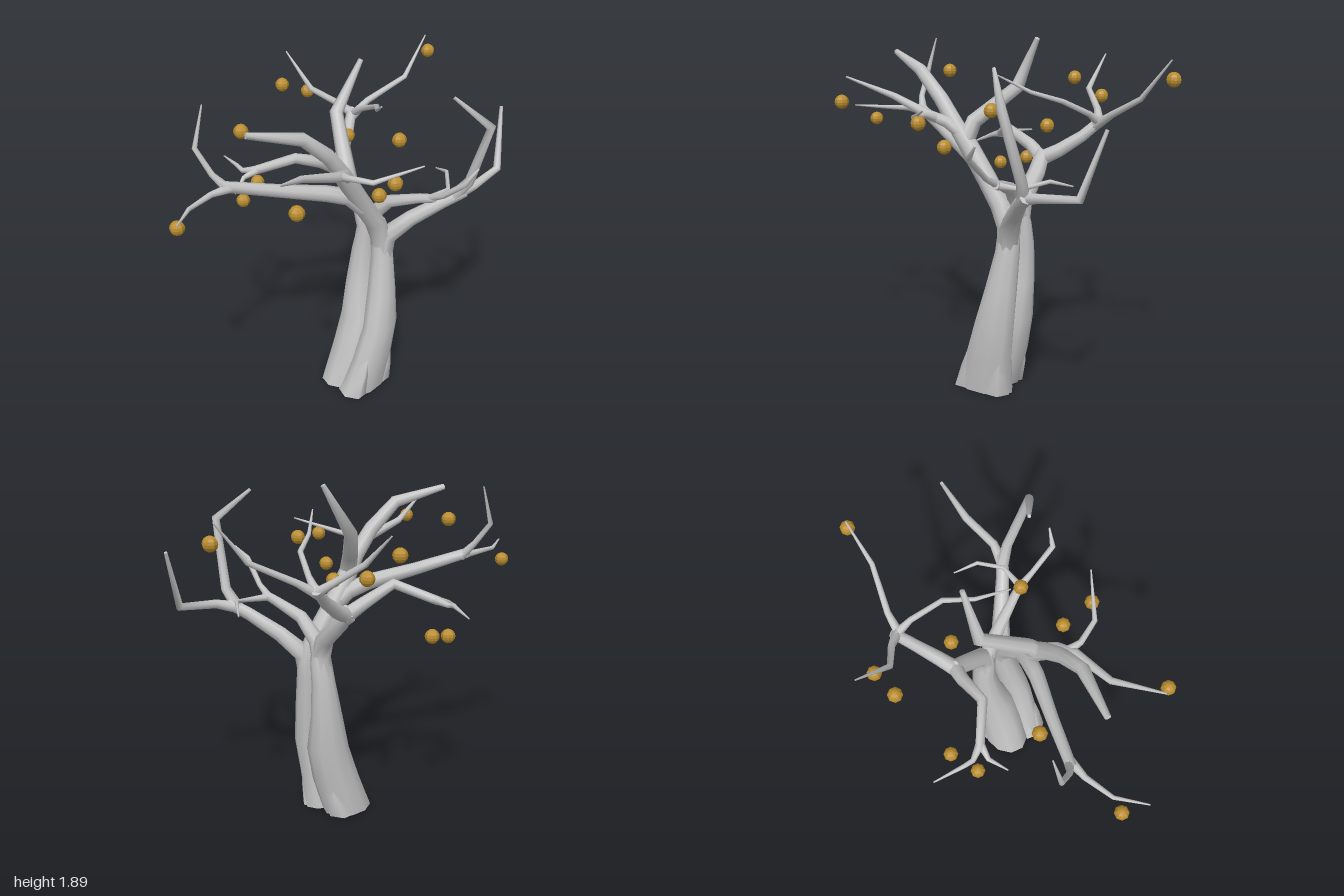
import * as THREE from 'three';

const bark = new THREE.MeshStandardMaterial({ color: 0xc2c2c2 });
bark.name = 'grey bark';
const gold = new THREE.MeshStandardMaterial({ color: 0xb98c2e, flatShading: true });
gold.name = 'gold fruit';

// Skin a row of rings { c: centre, rx, rz, q: orientation } and cap both ends
function loft(name, rings, sides) {
  const pos = [], index = [];
  const point = (r, j) => {
    const a = (j / sides) * Math.PI * 2;
    return new THREE.Vector3(Math.cos(a) * r.rx, 0, Math.sin(a) * r.rz).applyQuaternion(r.q).add(r.c);
  };
  const addRing = (r) => {
    const start = pos.length / 3;
    for (let j = 0; j < sides; j++) pos.push(...point(r, j).toArray());
    return start;
  };
  const starts = rings.map(addRing);
  for (let i = 0; i + 1 < rings.length; i++) {
    for (let j = 0; j < sides; j++) {
      const k = (j + 1) % sides, lo = starts[i], hi = starts[i + 1];
      index.push(lo + j, hi + j, lo + k, hi + j, hi + k, lo + k);
    }
  }
  [rings[0], rings[rings.length - 1]].forEach((r, end) => {
    const s = addRing(r), c = pos.length / 3;
    pos.push(...r.c.toArray());
    for (let j = 0; j < sides; j++) {
      const k = (j + 1) % sides;
      if (end) index.push(c, s + k, s + j);
      else index.push(c, s + j, s + k);
    }
  });
  const geo = new THREE.BufferGeometry();
  geo.setAttribute('position', new THREE.Float32BufferAttribute(pos, 3));
  geo.setIndex(index);
  geo.computeVertexNormals();
  const mesh = new THREE.Mesh(geo, bark);
  mesh.name = name;
  return mesh;
}

// Stem with level rings: rows of [x, y, z, rx, rz]
function stem(name, rows, sides = 10) {
  const q = new THREE.Quaternion();
  return loft(name, rows.map(([x, y, z, rx, rz]) => ({ c: new THREE.Vector3(x, y, z), rx, rz, q })), sides);
}

// Branch with rings square to its path: rows of [x, y, z, radius]
function limb(name, rows, sides = 8) {
  const pts = rows.map(([x, y, z]) => new THREE.Vector3(x, y, z));
  const q = new THREE.Quaternion();
  let last = new THREE.Vector3(0, 1, 0);
  const rings = pts.map((c, i) => {
    const t = new THREE.Vector3();
    if (i > 0) t.add(c.clone().sub(pts[i - 1]).normalize());
    if (i + 1 < pts.length) t.add(pts[i + 1].clone().sub(c).normalize());
    t.normalize();
    q.premultiply(new THREE.Quaternion().setFromUnitVectors(last, t));
    last = t;
    return { c, rx: rows[i][3], rz: rows[i][3], q: q.clone() };
  });
  return loft(name, rings, sides);
}

export function createModel() {
  const tree = new THREE.Group();
  tree.name = 'bareTree';

  // Two stems that lean together and part above the middle
  tree.add(
    stem('frontStem', [
      [0.065, 0, 0.17, 0.17, 0.1], [0.105, 0.2, 0.2, 0.137, 0.088], [0.15, 0.4, 0.215, 0.115, 0.08],
      [0.18, 0.6, 0.195, 0.088, 0.075], [0.205, 0.8, 0.173, 0.066, 0.062], [0.21, 0.93, 0.163, 0.06, 0.05],
      [0.19, 1.04, 0.158, 0.03, 0.035]]),
    stem('backStem', [
      [0.05, 0, 0.04, 0.145, 0.12], [0.115, 0.2, 0.055, 0.135, 0.12], [0.165, 0.4, 0.06, 0.118, 0.11],
      [0.19, 0.6, 0.035, 0.09, 0.08], [0.21, 0.8, 0.033, 0.067, 0.062], [0.212, 0.93, 0.052, 0.06, 0.05],
      [0.207, 1.05, 0.06, 0.035, 0.035]]),
    // Root flares
    stem('leftRoot', [[-0.045, 0, 0.18, 0.068, 0.085], [-0.015, 0.13, 0.205, 0.04, 0.06], [0.02, 0.26, 0.235, 0.01, 0.02]], 6),
    stem('frontRoot', [[0.155, 0, 0.2, 0.08, 0.07], [0.175, 0.1, 0.22, 0.05, 0.05], [0.2, 0.21, 0.235, 0.014, 0.02]], 6),
    stem('backRoot', [[0.11, 0, 0, 0.09, 0.08], [0.16, 0.12, 0.02, 0.07, 0.07], [0.21, 0.3, 0.04, 0.02, 0.03]], 6)
  );

  const branches = {
    // Front right bough
    frontBough: [[0.206, 0.8, 0.173, 0.056], [0.225, 0.93, 0.185, 0.056], [0.31, 1.035, 0.28, 0.044], [0.42, 1.14, 0.41, 0.036], [0.5, 1.2, 0.49, 0.034]],
    frontBoughSide: [[0.46, 1.175, 0.455, 0.033], [0.57, 1.205, 0.5, 0.024], [0.785, 1.23, 0.505, 0.022], [0.88, 1.55, 0.44, 0.009]],
    frontBoughTop: [[0.46, 1.17, 0.45, 0.034], [0.49, 1.27, 0.52, 0.028], [0.455, 1.63, 0.645, 0.024], [0.325, 1.79, 0.5, 0.009]],
    // Slender front bough
    innerBough: [[0.21, 0.88, 0.045, 0.045], [0.212, 1.03, 0.085, 0.045], [0.235, 1.14, 0.19, 0.035], [0.28, 1.2, 0.36, 0.026], [0.295, 1.22, 0.44, 0.023]],
    innerBoughTip: [[0.29, 1.21, 0.4, 0.022], [0.285, 1.26, 0.5, 0.015], [0.27, 1.38, 0.635, 0.016], [0.33, 1.455, 0.67, 0.005]],
    innerBoughSide: [[0.285, 1.21, 0.41, 0.021], [0.43, 1.215, 0.43, 0.012], [0.54, 1.25, 0.34, 0.011], [0.605, 1.21, 0.225, 0.004]],
    // Big left bough
    leftBough: [[0.206, 0.8, 0.172, 0.056], [0.2, 0.93, 0.163, 0.058], [0.15, 1.04, 0.158, 0.055], [0.06, 1.17, 0.15, 0.054], [-0.05, 1.33, 0.15, 0.052],
      [-0.12, 1.43, 0.16, 0.044], [-0.22, 1.56, 0.15, 0.04], [-0.37, 1.695, 0.12, 0.034], [-0.62, 1.765, 0, 0.016]],
    leftBoughLow: [[0.05, 1.165, 0.15, 0.046], [-0.03, 1.25, 0.12, 0.046], [-0.14, 1.295, 0.07, 0.043], [-0.36, 1.355, -0.06, 0.034], [-0.61, 1.43, -0.2, 0.028]],
    leftLowTip: [[-0.56, 1.415, -0.175, 0.028], [-0.69, 1.42, -0.19, 0.016], [-0.85, 1.415, -0.17, 0.011], [-1, 1.425, -0.08, 0.004]],
    leftLowTop: [[-0.58, 1.41, -0.185, 0.026], [-0.63, 1.49, -0.24, 0.016], [-0.65, 1.61, -0.33, 0.014], [-0.585, 1.815, -0.33, 0.004]],
    leftFrontTwig: [[-0.06, 1.37, 0.15, 0.035], [-0.15, 1.45, 0.2, 0.031], [-0.25, 1.485, 0.23, 0.026], [-0.48, 1.56, 0.215, 0.018], [-0.725, 1.655, 0.31, 0.005]],
    leftFrontTip: [[-0.2, 1.465, 0.21, 0.026], [-0.225, 1.49, 0.29, 0.016], [-0.2, 1.5, 0.42, 0.014], [-0.02, 1.575, 0.585, 0.004]],
    crownBough: [[-0.06, 1.35, 0.155, 0.046], [-0.04, 1.45, 0.11, 0.042], [0.11, 1.62, -0.08, 0.036], [0.25, 1.88, -0.035, 0.013]],
    // Back bough and its forks
    backBough: [[0.21, 0.82, 0.035, 0.055], [0.211, 0.95, 0.053, 0.054], [0.21, 1.05, 0.02, 0.05], [0.215, 1.17, -0.11, 0.047], [0.21, 1.26, -0.18, 0.04]],
    backLeft: [[0.23, 1.22, -0.16, 0.042], [0.12, 1.29, -0.2, 0.034], [-0.05, 1.365, -0.23, 0.028], [-0.2, 1.285, -0.41, 0.024]],
    backLeftTip: [[-0.18, 1.295, -0.385, 0.024], [-0.21, 1.275, -0.47, 0.014], [-0.2, 1.285, -0.52, 0.012], [-0.145, 1.27, -0.68, 0.004]],
    backLeftSide: [[-0.18, 1.295, -0.385, 0.022], [-0.26, 1.27, -0.41, 0.013], [-0.36, 1.225, -0.375, 0.004]],
    backRight: [[0.19, 1.22, -0.16, 0.042], [0.3, 1.28, -0.2, 0.037], [0.41, 1.36, -0.25, 0.031], [0.5, 1.45, -0.3, 0.028]],
    backRightTip: [[0.46, 1.41, -0.28, 0.028], [0.58, 1.49, -0.25, 0.018], [0.78, 1.6, -0.145, 0.014], [0.94, 1.805, -0.13, 0.004]],
    backRightRear: [[0.49, 1.43, -0.285, 0.028], [0.44, 1.49, -0.36, 0.019], [0.335, 1.58, -0.46, 0.016], [0.34, 1.75, -0.65, 0.004]],
    backRightInner: [[0.49, 1.43, -0.29, 0.026], [0.47, 1.49, -0.2, 0.016], [0.4, 1.57, -0.04, 0.014], [0.27, 1.62, 0.06, 0.011], [0.15, 1.71, 0.185, 0.004]]
  };
  for (const [name, rows] of Object.entries(branches)) tree.add(limb(name, rows));

  // Round fruit hanging in the air around the twigs
  const fruitShape = new THREE.SphereGeometry(0.038, 8, 8);
  [[-0.92, 1.34, -0.18], [-0.697, 1.533, 0.385], [-0.427, 1.65, -0.235], [-0.12, 1.49, 0.49],
    [-0.063, 1.352, 0.35], [-0.227, 1.103, -0.458], [-0.075, 1.145, -0.497], [0.175, 1.55, 0.285],
    [0.2, 1.62, -0.552], [0.263, 1.42, -0.128], [0.38, 1.535, -0.528], [0.957, 1.712, -0.12]
  ].forEach((p, i) => {
    const fruit = new THREE.Mesh(fruitShape, gold);
    fruit.name = `fruit${i + 1}`;
    fruit.position.set(...p);
    tree.add(fruit);
  });
  return tree;
}
